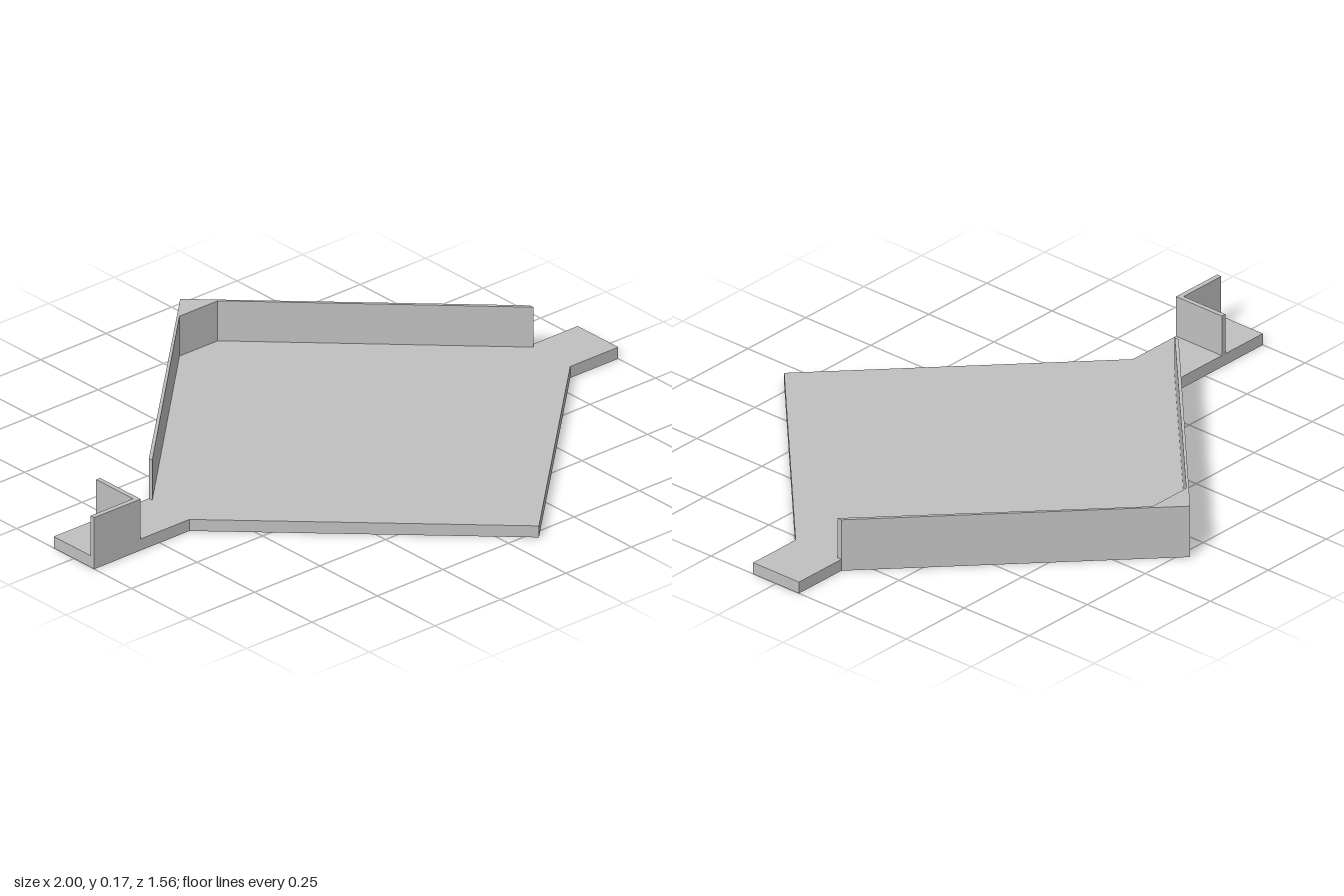
import * as THREE from 'three';

const BASE_H = 0.037, TOP = 0.166;

// Extrude a plan outline of [x, z] points upward between two heights.
function slab(name, outline, y0, y1, material) {
  const shape = new THREE.Shape(outline.map(([x, z]) => new THREE.Vector2(x, -z)));
  const geometry = new THREE.ExtrudeGeometry(shape, { depth: y1 - y0, bevelEnabled: false });
  geometry.rotateX(-Math.PI / 2).translate(0, y0, 0);
  const mesh = new THREE.Mesh(geometry, material);
  mesh.name = name;
  return mesh;
}

export function createModel() {
  const model = new THREE.Group();
  model.name = 'diamondTray';
  const grey = new THREE.MeshStandardMaterial({ color: 0xc0c0c0 });
  grey.name = 'lightGrey';

  const cx = 0.09, left = -0.637, right = 0.817, tab = 0.088, apex = 0.78;

  // Diamond floor with a tab at each side corner
  model.add(slab('floor', [
    [-1, tab], [left, tab], [cx, apex], [right, tab], [1, tab],
    [1, -tab], [right, -tab], [cx, -apex], [left, -tab], [-1, -tab],
  ], 0, BASE_H, grey));

  // Wall along the two rear edges, with a filled-in rear corner
  model.add(slab('rearWall', [
    [left, -tab], [left, -0.073], [0.017, -0.7], [0.163, -0.7],
    [right, -0.073], [right, -tab], [cx, -apex],
  ], BASE_H, TOP, grey));

  // L-shaped guard on one tab
  model.add(slab('tabGuard', [
    [-1, tab], [-0.823, tab], [-0.823, -tab], [-0.838, -tab],
    [-0.838, 0.072], [-1, 0.072],
  ], BASE_H, TOP, grey));

  return model;
}
